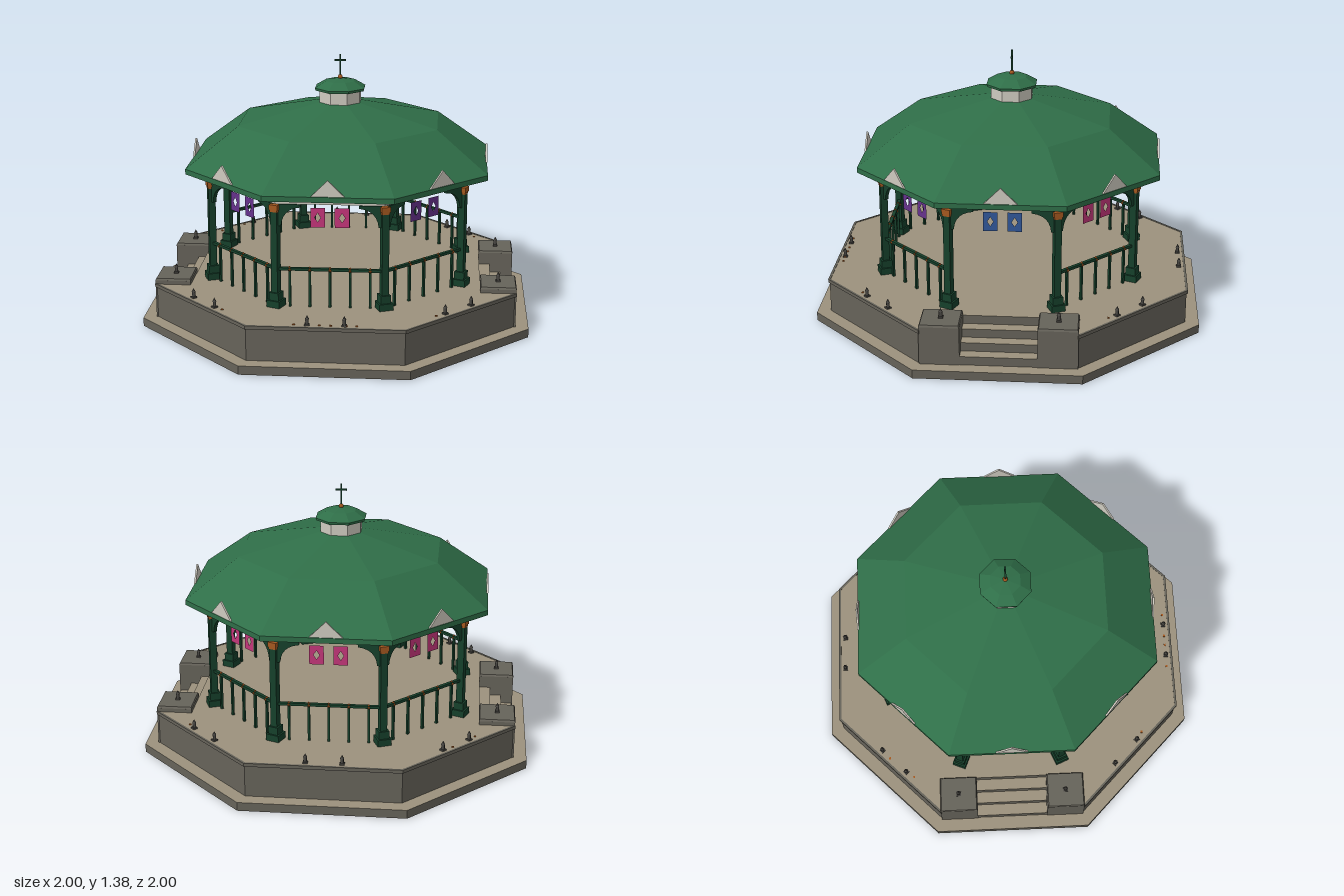
import * as THREE from 'three';

const mat = (name, color) => {
  const m = new THREE.MeshStandardMaterial({ color });
  m.name = name;
  return m;
};
const T8 = Math.tan(Math.PI / 8), C8 = Math.cos(Math.PI / 8);

export function createModel() {
  const stone = mat('stone', 0x66635a), sand = mat('sandPaving', 0x9c927d);
  const roofGreen = mat('roofGreen', 0x2f6e48), iron = mat('darkGreenIron', 0x16402b);
  const copper = mat('copper', 0xa5581f), cream = mat('cream', 0xcfcbc0);
  const purple = mat('purpleCloth', 0x65328c), pink = mat('pinkCloth', 0xc4367a), blue = mat('blueCloth', 0x30589a);
  const lampGrey = mat('lampGrey', 0x4a4844);
  for (const m of [purple, pink, blue]) m.side = THREE.DoubleSide;

  const model = new THREE.Group();
  model.name = 'bandstand';

  const add = (parent, name, geo, material, x = 0, y = 0, z = 0) => {
    const m = new THREE.Mesh(geo, material);
    m.name = name;
    m.position.set(x, y, z);
    parent.add(m);
    return m;
  };
  const box = (parent, name, material, w, h, d, x, y, z) =>
    add(parent, name, new THREE.BoxGeometry(w, h, d), material, x, y, z);
  const turned = (parent, name, angle) => {
    const g = new THREE.Group();
    g.name = name;
    g.rotation.y = angle;
    parent.add(g);
    return g;
  };
  // Faceted eight-sided solid from [apothem, y] pairs listed bottom to top
  const octagon = (name, material, profile) => {
    const pts = profile.map(([a, y]) => new THREE.Vector2(a / C8, y));
    const geo = new THREE.LatheGeometry(pts, 8, Math.PI / 8).toNonIndexed();
    geo.computeVertexNormals();
    return add(model, name, geo, material);
  };
  const lamp = (parent, x, y, z) => {
    const g = new THREE.Group();
    g.name = 'smallLantern';
    g.position.set(x, y, z);
    parent.add(g);
    box(g, 'lanternFoot', lampGrey, 0.024, 0.008, 0.024, 0, 0.004, 0);
    add(g, 'lanternBody', new THREE.CylinderGeometry(0.009, 0.009, 0.024, 6), lampGrey, 0, 0.02, 0);
    add(g, 'lanternTop', new THREE.ConeGeometry(0.011, 0.02, 6), lampGrey, 0, 0.042, 0);
  };

  // Plinth
  octagon('plinth', stone, [[0, 0], [1, 0], [1, 0.045]]);
  octagon('plinthTop', sand, [[1, 0.045], [0, 0.045]]);

  // Platform with a stair notch on each side
  const A = 0.93, B = A * T8, N = 0.75, S = 0.19;
  const plan = new THREE.Shape([
    [A, -B], [A, -S], [N, -S], [N, S], [A, S], [A, B], [B, A], [-B, A],
    [-A, B], [-A, S], [-N, S], [-N, -S], [-A, -S], [-A, -B], [-B, -A], [B, -A],
  ].map(([x, z]) => new THREE.Vector2(x, z)));
  const deck = new THREE.ExtrudeGeometry(plan, { depth: 0.18, bevelEnabled: false });
  deck.rotateX(-Math.PI / 2);
  add(model, 'platform', deck, [sand, stone], 0, 0.045, 0);

  // Steps and cheek blocks
  for (const s of [1, -1]) {
    for (let i = 0; i < 3; i++) {
      const h = 0.045 * (i + 1), w = 0.18 - 0.06 * i;
      box(model, 'step', [stone, stone, sand, stone, stone, stone], w, h, 2 * S, s * (N + w / 2), 0.045 + h / 2, 0);
    }
    for (const t of [1, -1]) {
      box(model, 'cheekBlock', stone, 0.184, 0.2, 0.2, s * 0.842, 0.145, t * 0.29);
      const cap = new THREE.CylinderGeometry(0.125, 0.132, 0.01, 4, 1, false, Math.PI / 4).toNonIndexed();
      cap.computeVertexNormals();
      add(model, 'cheekCap', cap, stone, s * 0.842, 0.25, t * 0.29).scale.z = 1.07;
      lamp(model, s * 0.842, 0.255, t * 0.29);
    }
  }

  // Shared shapes: arch bracket, banner with diamond hole, gable triangle
  const bracketShape = new THREE.Shape();
  bracketShape.moveTo(0, 0);
  bracketShape.lineTo(0, -0.11);
  bracketShape.lineTo(0.014, -0.11);
  bracketShape.quadraticCurveTo(0.022, -0.022, 0.11, -0.014);
  bracketShape.lineTo(0.11, 0);
  const bracketGeo = new THREE.ExtrudeGeometry(bracketShape, { depth: 0.02, bevelEnabled: false, curveSegments: 6 });
  bracketGeo.translate(0, 0, -0.01);

  const bannerShape = new THREE.Shape([[-0.036, -0.05], [0.036, -0.05], [0.036, 0.05], [-0.036, 0.05]]
    .map(([x, y]) => new THREE.Vector2(x, y)));
  bannerShape.holes.push(new THREE.Path([[0, -0.024], [-0.015, 0], [0, 0.024], [0.015, 0]]
    .map(([x, y]) => new THREE.Vector2(x, y))));
  const bannerGeo = new THREE.ShapeGeometry(bannerShape);

  const gableGeo = new THREE.ExtrudeGeometry(
    new THREE.Shape([[-0.082, 0], [0.082, 0], [0, 0.082]].map(([x, y]) => new THREE.Vector2(x, y))),
    { depth: 0.009, bevelEnabled: false });

  // Eight sides, local +z outward
  const R = 0.65, half = R * T8;
  const cloth = [pink, purple, blue, pink, pink, pink, blue, purple];
  for (let k = 0; k < 8; k++) {
    const side = turned(model, 'side', k * Math.PI / 4);
    for (const s of [1, -1]) {
      add(side, 'banner', bannerGeo, cloth[k], s * 0.06, 0.69, R);
      add(side, 'archBracket', bracketGeo, iron, s * (half - 0.015), 0.757, R).rotation.y = s > 0 ? Math.PI : 0;
    }
    add(side, 'eaveGable', gableGeo, cream, 0, 0.833, 0.766);

    if (k % 4 !== 2) {
      // Closed sides: platform lip, railing and lanterns
      box(side, 'platformLip', stone, 0.776, 0.018, 0.012, 0, 0.218, 0.931);
      box(side, 'handrail', iron, 2 * half, 0.014, 0.018, 0, 0.422, R);
      for (let i = -2; i <= 2; i++) {
        box(side, 'baluster', iron, 0.012, 0.195, 0.012, i * 0.1, 0.32, R);
        add(side, 'railKnob', new THREE.OctahedronGeometry(0.017), copper, i * 0.1, 0.42, R);
      }
      for (const s of [1, -1]) lamp(side, s * 0.09, 0.225, 0.9);
    }

    // Corner post
    const corner = turned(model, 'cornerPost', (k + 0.5) * Math.PI / 4);
    const r = R / C8;
    box(corner, 'postFoot', iron, 0.072, 0.035, 0.072, 0, 0.2425, r);
    box(corner, 'postPlinth', iron, 0.054, 0.06, 0.054, 0, 0.27, r);
    box(corner, 'postShaft', iron, 0.036, 0.5, 0.036, 0, 0.5, r);
    box(corner, 'capital', copper, 0.046, 0.026, 0.046, 0, 0.742, r);
    box(corner, 'capitalNeck', copper, 0.04, 0.012, 0.04, 0, 0.724, r);
  }

  // Scattered petals on the paving
  const petals = [[-0.155, 0.9], [-0.03, 0.9], [0.025, 0.9], [0.1, 0.9], [0.15, 0.9], [-0.53, 0.73], [0.53, 0.73],
    [-0.73, -0.53], [0.73, -0.53], [-0.62, -0.66]];
  for (const [x, z] of petals) box(model, 'petal', copper, 0.012, 0.004, 0.01, x, 0.227, z);

  // Beam ring, ceiling and roof
  octagon('beam', cream, [[0.625, 0.802], [0.625, 0.757], [0.652, 0.757], [0.652, 0.802]]);
  octagon('ceiling', cream, [[0, 0.803], [0.77, 0.803]]);
  octagon('roof', roofGreen, [[0.765, 0.803], [0.773, 0.803], [0.773, 0.83], [0.512, 1.035], [0.1, 1.132]]);

  // Cupola
  octagon('cupolaDrum', cream, [[0.105, 1.12], [0.105, 1.198]]);
  octagon('cupolaRoof', roofGreen, [[0, 1.195], [0.125, 1.195], [0.128, 1.208], [0.075, 1.242], [0, 1.255]]);

  // Finial
  add(model, 'finialBall', new THREE.SphereGeometry(0.013, 10, 8), copper, 0, 1.26, 0);
  box(model, 'finialPole', iron, 0.009, 0.12, 0.009, 0, 1.32, 0);
  box(model, 'finialBar', iron, 0.06, 0.009, 0.009, 0, 1.348, 0);
  return model;
}
